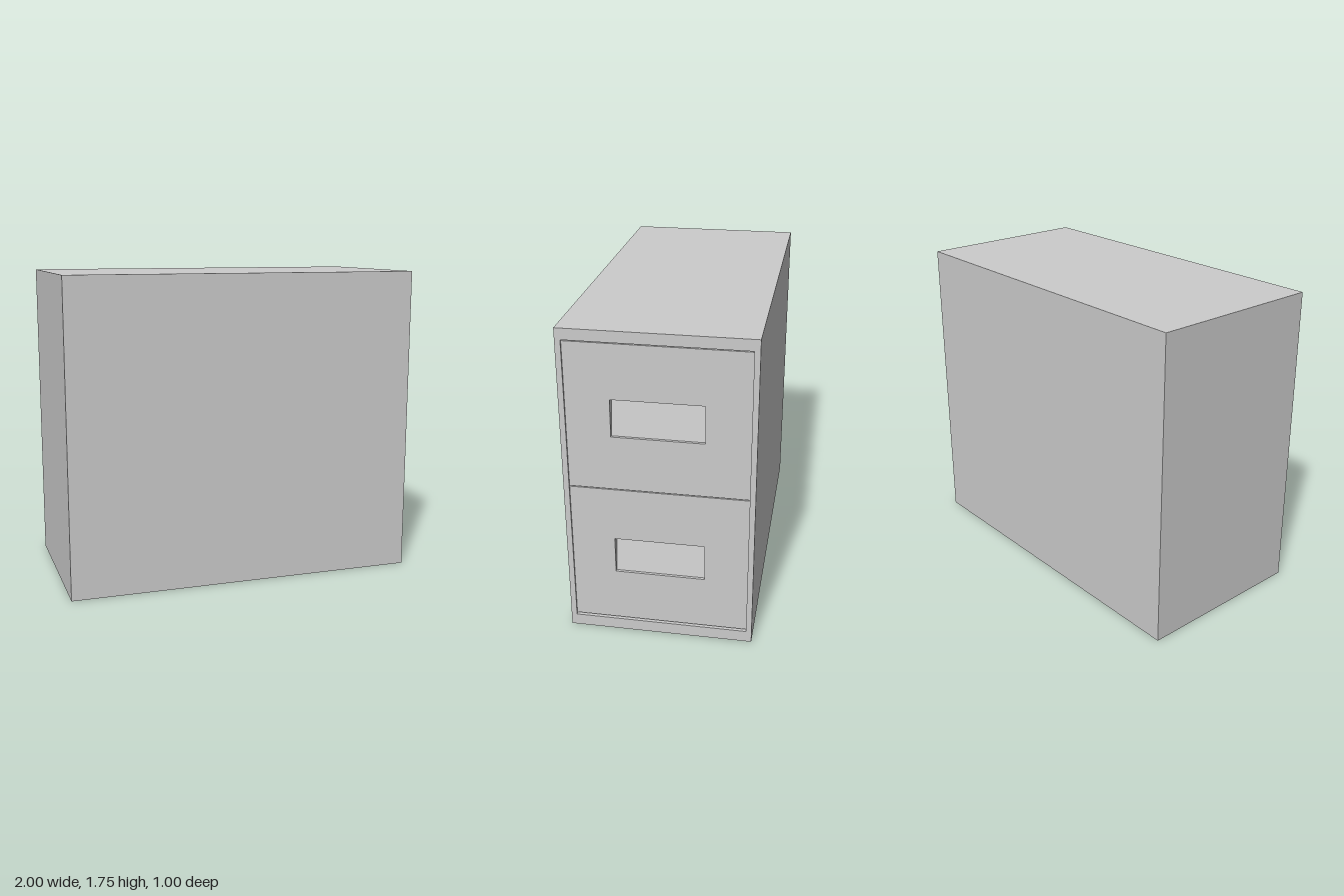
import * as THREE from 'three';

const material = new THREE.MeshStandardMaterial({ color: 0xcccccc, flatShading: true });

// Box without its +x face; inward = true turns it into the lining of a cavity
function openBox(w, h, d, inward = false) {
  const g = new THREE.BoxGeometry(w, h, d);
  const index = Array.from(g.index.array).slice(6);
  g.setIndex(inward ? index.reverse() : index);
  g.clearGroups();
  g.computeVertexNormals();
  return g;
}

function rectangle(PathType, w, y0, y1) {
  const p = new PathType();
  p.moveTo(-w / 2, y0);
  p.lineTo(w / 2, y0);
  p.lineTo(w / 2, y1);
  p.lineTo(-w / 2, y1);
  p.closePath();
  return p;
}

// Flat panel facing +x with a rectangular hole
function holedFace(w, y0, y1, holeW, holeY0, holeY1) {
  const s = rectangle(THREE.Shape, w, y0, y1);
  s.holes.push(rectangle(THREE.Path, holeW, holeY0, holeY1));
  return new THREE.ShapeGeometry(s).rotateY(Math.PI / 2);
}

function add(parent, name, geometry, x = 0, y = 0) {
  const m = new THREE.Mesh(geometry, material);
  m.name = name;
  m.position.set(x, y, 0);
  parent.add(m);
  return m;
}

// Finger recess: deep at the top, sloping out to a narrow ledge at the bottom
function pocketGeometry(w, h) {
  const g = openBox(1, h, w, true);
  const p = g.attributes.position;
  for (let i = 0; i < p.count; i++) {
    const top = p.getY(i) > 0;
    if (p.getX(i) > 0) p.setX(i, 0);
    else {
      p.setX(i, top ? -0.05 : -0.015);
      if (top) p.setY(i, h / 2 - 0.012);
    }
  }
  g.computeVertexNormals();
  return g;
}

export function createModel() {
  const model = new THREE.Group();
  model.name = 'filingCabinet';

  const H = 1.745, D = 1, openW = 0.94, y0 = 0.065, y1 = 1.685;
  const cavity = 0.1, faceX = 0.99, pocketW = 0.48, pocketH = 0.205;

  // Cabinet shell, front frame and lining of the drawer opening
  const cabinet = new THREE.Group();
  cabinet.name = 'cabinet';
  model.add(cabinet);
  add(cabinet, 'shell', openBox(2, H, D), 0, H / 2);
  add(cabinet, 'frontFrame', holedFace(D, 0, H, openW, y0, y1), 1);
  add(cabinet, 'openingLining', openBox(cavity, y1 - y0, openW, true), 1 - cavity / 2, (y0 + y1) / 2);

  // Two drawers, each with a recessed pull
  const drawers = [
    { name: 'lowerDrawer', bottom: 0.072, top: 0.872, pull: 0.472 },
    { name: 'upperDrawer', bottom: 0.877, top: 1.677, pull: 1.278 },
  ];
  for (const { name, bottom, top, pull } of drawers) {
    const drawer = new THREE.Group();
    drawer.name = name;
    model.add(drawer);
    add(drawer, 'drawerFace', holedFace(openW, bottom, top, pocketW, pull - pocketH / 2, pull + pocketH / 2), faceX);
    add(drawer, 'drawerEdges', openBox(0.08, top - bottom, openW), faceX - 0.04, (top + bottom) / 2);
    // The rear of the edges would block the deeper pocket only beyond 0.08
    add(drawer, 'recessedPull', pocketGeometry(pocketW, pocketH), faceX, pull);
  }
  return model;
}
